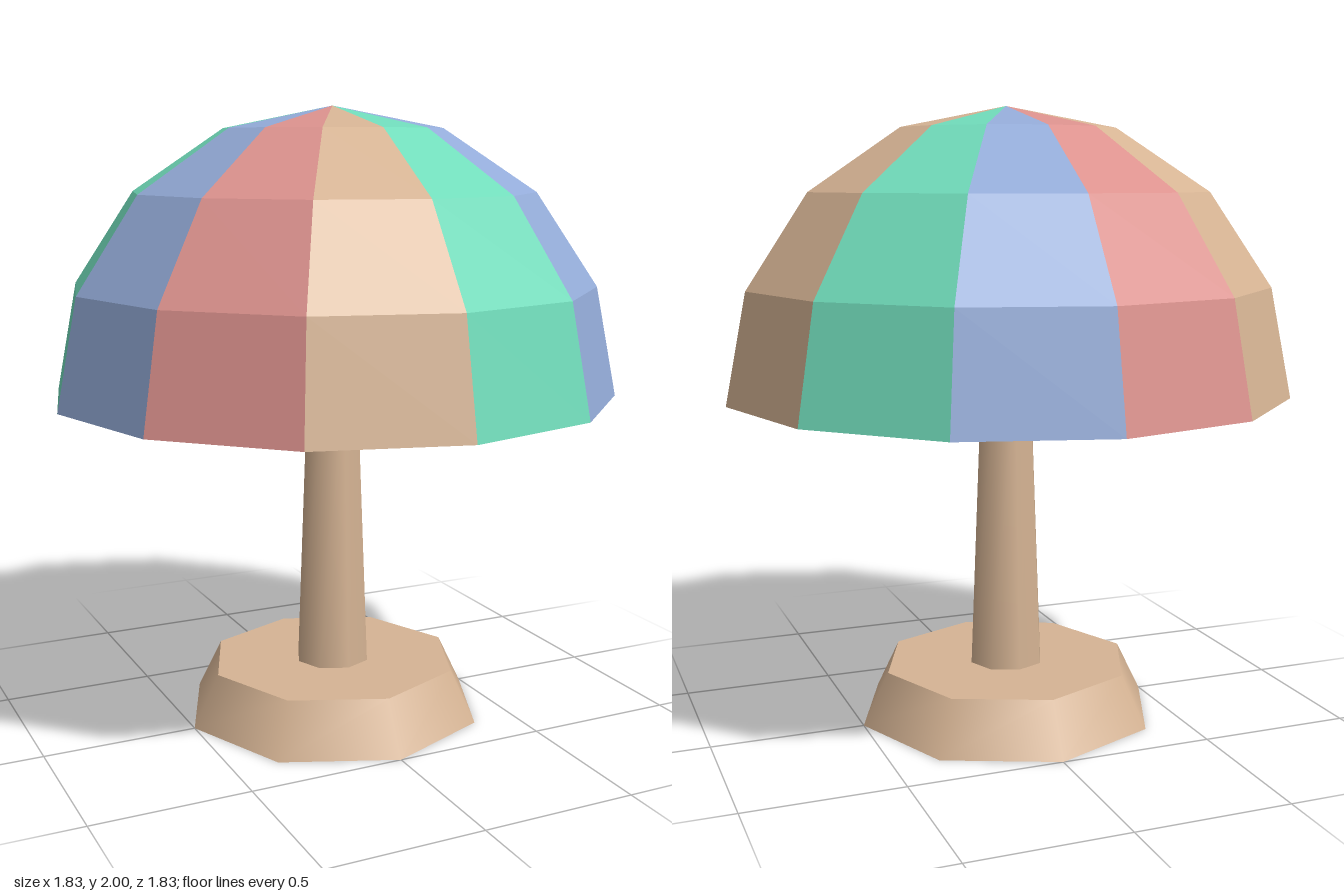
import * as THREE from 'three';

const paint = (name, hex) => {
  const m = new THREE.MeshStandardMaterial({ color: hex });
  m.name = name;
  return m;
};

export function createModel() {
  const model = new THREE.Group();
  model.name = 'parasol';

  const tan = paint('tan', 0xd6b494);
  const red = paint('red', 0xdb918d);
  const blue = paint('blue', 0x94acd9);
  const green = paint('green', 0x70dbba);

  const add = (parent, name, geometry, material, y = 0) => {
    const mesh = new THREE.Mesh(geometry, material);
    mesh.name = name;
    mesh.position.y = y;
    parent.add(mesh);
  };

  // Eight-sided foot and tapered post
  const footHeight = 0.17, rimY = 1.085, radius = 0.915;
  add(model, 'foot', new THREE.CylinderGeometry(0.415, 0.5, footHeight, 8), tan, footHeight / 2);
  const postHeight = rimY - footHeight;
  add(model, 'post', new THREE.CylinderGeometry(0.088, 0.124, postHeight, 8), tan, footHeight + postHeight / 2);

  // Canopy: half dome profile in four bands, closed by a flat underside
  const canopy = new THREE.Group();
  canopy.name = 'canopy';
  canopy.position.y = rimY;
  model.add(canopy);

  const profile = [new THREE.Vector2(0, 0)];
  for (let i = 0; i <= 4; i++) {
    const a = (i / 4) * Math.PI / 2;
    profile.push(new THREE.Vector2(i === 4 ? 0 : radius * Math.cos(a), radius * Math.sin(a)));
  }

  // Twelve flat-faced wedges, colours repeating around the dome from +x towards +z
  const colours = [red, blue, green, tan];
  const step = Math.PI / 6;
  for (let i = 0; i < 12; i++) {
    const wedge = new THREE.LatheGeometry(profile, 1, Math.PI / 2 - (i + 1) * step, step).toNonIndexed();
    wedge.computeVertexNormals();
    add(canopy, `canopyWedge${i + 1}`, wedge, colours[i % 4]);
  }

  return model;
}
